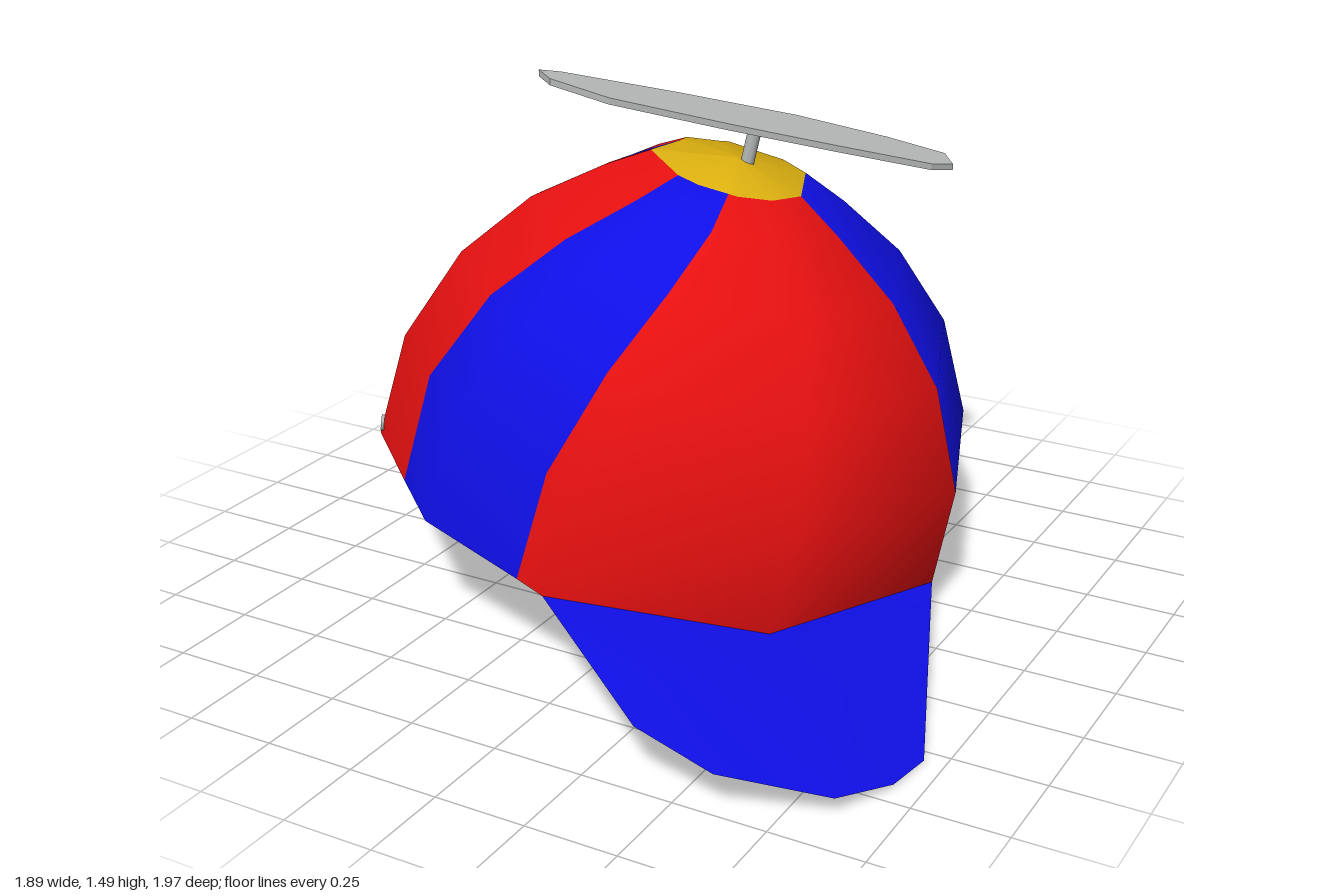
import * as THREE from 'three';

const mat = (name, color, side = THREE.FrontSide) => {
  const m = new THREE.MeshStandardMaterial({ color, side });
  m.name = name;
  return m;
};

// Tilted rim plane: centre and slopes
const C = new THREE.Vector3(-0.13, 0.203, -0.16);
const SX = -0.211, SZ = 0.0613;
const UP = new THREE.Vector3(-SX, 1, -SZ).normalize();

// Rim points round the cap: x, z offset, lift, twist towards the crown (degrees), panel seam starts here
const RIM = [
  [0.78, -0.04, 0.05, 7, 1], [0.59, 0.58, 0.05, -9, 0], [0.07, 0.84, 0.02, -25, 0],
  [-0.02, 0.82, 0.02, -25, 1], [-0.37, 0.73, 0, -29, 0],
  [-0.54, 0.59, 0, -26, 1], [-0.73, 0.44, 0.02, 7, 0],
  [-0.74, 0.36, 0.01, 8, 1],
  [-0.80, -0.14, 0, 8, 1], [-0.82, -0.35, 0, 5, 0],
  [-0.55, -0.66, 0, 1, 1], [-0.46, -0.77, 0, -1, 0],
  [0.08, -0.80, 0, -9, 1], [0.23, -0.81, 0, -7, 0],
  [0.58, -0.59, 0, -10, 1],
];

// Dome profile: height above the rim plane, radius factor
const PROFILE = [[0, 1], [0.33, 0.98], [0.6, 0.84], [0.79, 0.64], [0.915, 0.42], [0.985, 0.27], [1.02, 0]];

// Point of the dome at a rim column and profile row
function domePoint(col, row) {
  const [x, z, lift, twist] = RIM[col % RIM.length];
  const [h, k] = PROFILE[row];
  const f = Math.min(1, (1 - k) / 0.73);
  const a = Math.atan2(z, x) + THREE.MathUtils.degToRad(twist * f);
  const r = Math.hypot(x, z) * k;
  const px = r * Math.cos(a) - 0.06 * f, pz = r * Math.sin(a);
  const y = SX * px + SZ * pz + (row === 0 ? lift : 0);
  return new THREE.Vector3(px, y, pz).add(C).addScaledVector(UP, h);
}

function buildDome(materials) {
  const n = RIM.length, rows = PROFILE.length, pos = [], idx = [];
  const geo = new THREE.BufferGeometry();
  for (let j = 0; j < rows; j++) for (let i = 0; i < n; i++) pos.push(...domePoint(i, j).toArray());
  const id = (i, j) => j * n + (i % n);
  let panel = 1;
  for (let i = 0; i < n; i++) {
    if (RIM[i][4]) panel = 1 - panel;
    for (let j = 0; j < rows - 1; j++) {
      const crown = j === rows - 2, start = idx.length;
      idx.push(id(i, j), id(i, j + 1), id(i + 1, j));
      if (!crown) idx.push(id(i + 1, j), id(i, j + 1), id(i + 1, j + 1));
      geo.addGroup(start, idx.length - start, crown ? 2 : panel);
    }
  }
  geo.setAttribute('position', new THREE.Float32BufferAttribute(pos, 3));
  geo.setIndex(idx);
  geo.computeVertexNormals();
  return new THREE.Mesh(geo, materials);
}

// Brim: a thin arched sheet from the rim to the outer edge
function buildBrim(material) {
  const [a, b, c] = [0, 1, 2].map((i) => domePoint(i, 0));
  const inner = [a, a.clone().lerp(b, 0.5), b, b.clone().lerp(c, 0.5), c];
  const outer = [[0.945, 0, 0.54], [0.93, 0.01, 0.69], [0.86, 0.05, 0.87], [0.61, 0.11, 1], [0.38, 0.155, 0.97]]
    .map((p) => new THREE.Vector3(...p));
  const pos = [], idx = [], n = inner.length;
  for (let j = 0; j < 3; j++) {
    for (let i = 0; i < n; i++) {
      const p = inner[i].clone().lerp(outer[i], j / 2);
      if (j === 1) p.y += 0.02 * Math.sin((Math.PI * i) / (n - 1));
      pos.push(...p.toArray());
    }
  }
  for (let j = 0; j < 2; j++) {
    for (let i = 0; i < n - 1; i++) {
      const k = j * n + i;
      idx.push(k, k + 1, k + n, k + 1, k + n + 1, k + n);
    }
  }
  const geo = new THREE.BufferGeometry();
  geo.setAttribute('position', new THREE.Float32BufferAttribute(pos, 3));
  geo.setIndex(idx);
  geo.computeVertexNormals();
  return new THREE.Mesh(geo, material);
}

// Propeller: flat outline extruded, then sheared to its slope
function buildPropeller(material) {
  const outline = [[0.44, -0.68], [0.30, -0.59], [0.10, -0.42], [-0.13, -0.16], [-0.34, 0.10], [-0.37, 0.16],
    [-0.32, 0.185], [-0.18, 0.12], [0.05, -0.10], [0.26, -0.32], [0.46, -0.54], [0.49, -0.62]];
  const shape = new THREE.Shape(outline.map(([x, z]) => new THREE.Vector2(x, z)));
  const geo = new THREE.ExtrudeGeometry(shape, { depth: 0.018, bevelEnabled: false });
  geo.rotateX(Math.PI / 2);
  const p = geo.attributes.position;
  for (let i = 0; i < p.count; i++) p.setY(i, p.getY(i) + 1.361 - 0.31 * p.getX(i) + 0.08 * p.getZ(i));
  geo.computeVertexNormals();
  return new THREE.Mesh(geo, material);
}

export function createModel() {
  const red = mat('red cloth', 0xe61010, THREE.DoubleSide);
  const blue = mat('blue cloth', 0x0f0fe6, THREE.DoubleSide);
  const yellow = mat('yellow crown', 0xdcb010, THREE.DoubleSide);
  const grey = mat('grey plastic', 0xb6bab8);

  const group = new THREE.Group();
  group.name = 'propellerCap';
  const add = (name, mesh) => {
    mesh.name = name;
    group.add(mesh);
    return mesh;
  };

  add('dome', buildDome([red, blue, yellow]));
  add('brim', buildBrim(blue));
  add('propeller', buildPropeller(grey));

  // Post between crown and propeller
  const post = add('propellerPost', new THREE.Mesh(new THREE.CylinderGeometry(0.02, 0.02, 0.16, 8), grey));
  post.position.set(0.05, 1.235, -0.24);
  post.quaternion.setFromUnitVectors(new THREE.Vector3(0, 1, 0), UP);

  // Small grey tab at the rim
  const tab = add('rimTab', new THREE.Mesh(new THREE.CylinderGeometry(0.025, 0.025, 0.009, 6), grey));
  tab.position.copy(domePoint(6, 0).lerp(domePoint(6, 1), 0.1));
  tab.quaternion.setFromUnitVectors(new THREE.Vector3(0, 1, 0), new THREE.Vector3(-0.85, 0.1, 0.52).normalize());

  return group;
}
